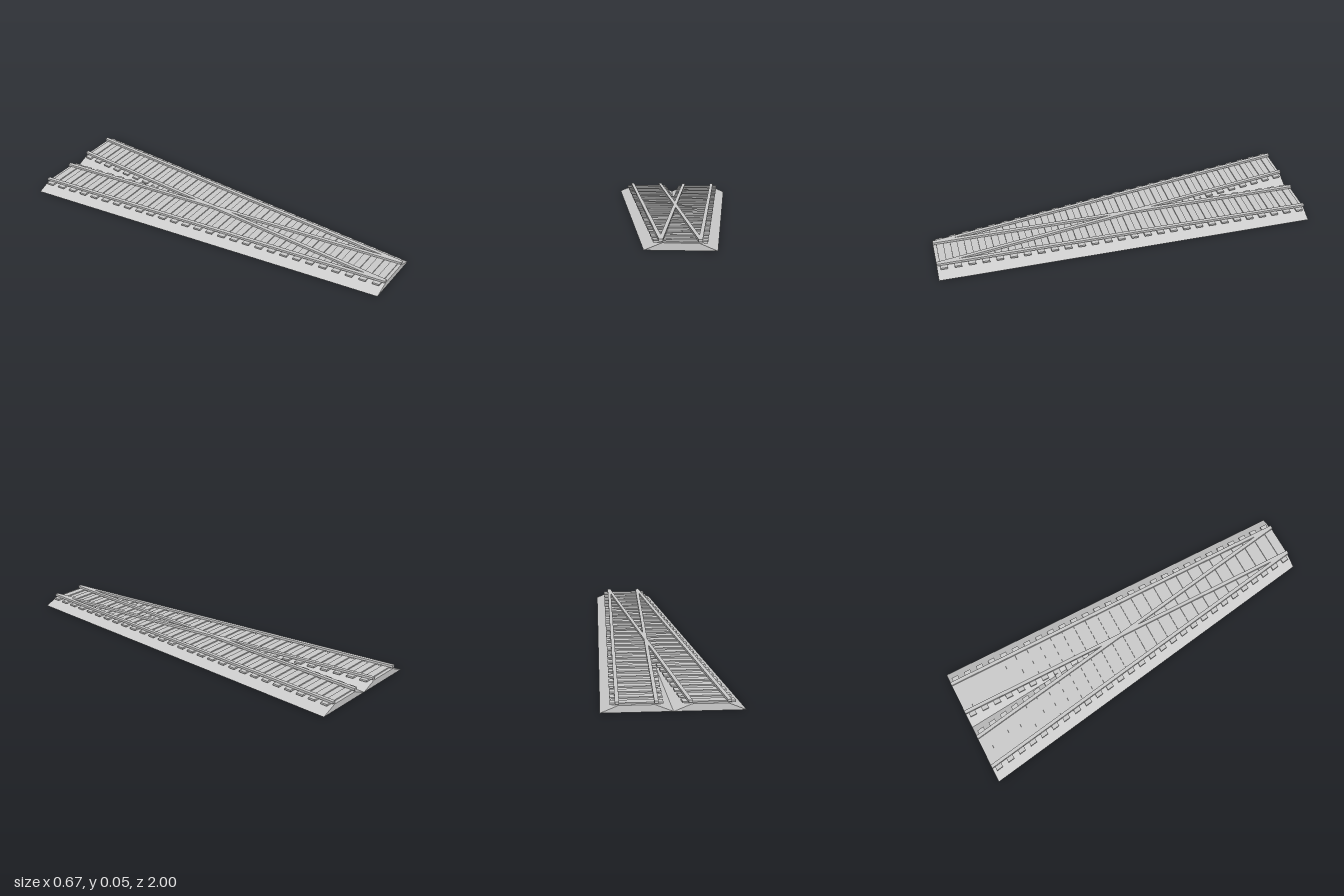
import * as THREE from 'three';

const THIRD = 1 / 3;      // foot width of one track bed
const BED_TOP = 0.035;
const SLEEPERS = 28;
const CENTRE = THIRD / 2; // centre line of the straight track

// Sideways shift of the diverging track at depth z
const shift = (z) => -(1 - z) / 6;

// Skews a geometry along the diverging track
function skew(geometry) {
  const p = geometry.attributes.position;
  for (let i = 0; i < p.count; i++) p.setX(i, p.getX(i) + shift(p.getZ(i)));
  geometry.computeVertexNormals();
  return geometry;
}

// Cross-section of the joined beds: left bed, valley, right bed
function bedSection(z) {
  const s = shift(z);
  const w = THIRD / 4;
  const valley = z < 0 ? (THIRD + s) / 2 : w;
  const inner = z < 0 ? s + 3 * w : w; // the beds merge in front of z = 0
  return [
    [s, 0], [s + w, BED_TOP], [inner, BED_TOP],
    [valley, valley / w * BED_TOP],
    [w, BED_TOP], [3 * w, BED_TOP], [THIRD, 0],
  ].map(([x, y]) => new THREE.Vector3(x, y, z));
}

// Open-bottomed gravel bed with closed ends
function bedGeometry() {
  const pos = [];
  const tri = (...pts) => pts.forEach((v) => pos.push(v.x, v.y, v.z));
  const quad = (a, b, c, d) => { tri(a, b, c); tri(a, c, d); };
  const [back, middle, front] = [-1, 0, 1].map(bedSection);

  for (let i = 0; i < 6; i++) {
    quad(back[i], middle[i], middle[i + 1], back[i + 1]);
    // the front half has one flat top, running from point 1 to point 5
    if (i === 0 || i === 5) quad(middle[i], front[i], front[i + 1], middle[i + 1]);
  }
  quad(middle[1], front[1], front[5], middle[5]);

  // end walls
  quad(front[0], front[6], front[5], front[1]);
  quad(back[0], back[1], back[2], back[3]);
  quad(back[3], back[4], back[5], back[6]);

  const g = new THREE.BufferGeometry();
  g.setAttribute('position', new THREE.Float32BufferAttribute(pos, 3));
  g.computeVertexNormals();
  return g;
}

export function createModel() {
  const group = new THREE.Group();
  const material = new THREE.MeshStandardMaterial({ color: 0xcccccc, flatShading: true });
  const bedMaterial = material.clone();
  bedMaterial.side = THREE.DoubleSide;

  const bed = new THREE.Mesh(bedGeometry(), bedMaterial);
  bed.name = 'gravelBed';
  group.add(bed);

  for (const diverging of [false, true]) {
    const track = new THREE.Group();
    track.name = diverging ? 'divergingTrack' : 'straightTrack';
    const add = (name, w, h, d, x, y, z) => {
      const g = new THREE.BoxGeometry(w, h, d).translate(x, y, z);
      const mesh = new THREE.Mesh(diverging ? skew(g) : g, material);
      mesh.name = name;
      track.add(mesh);
    };

    // sleepers
    for (let i = 0; i < SLEEPERS; i++) {
      add('sleeper', 0.243, 0.009, 0.037, CENTRE, 0.0365, -1 + (i + 0.5) * 2 / SLEEPERS);
    }
    // pair of rails
    for (const side of [-1, 1]) {
      add(side < 0 ? 'rightRail' : 'leftRail', 0.019, 0.012, 2, CENTRE + side * 0.089, 0.0465, 0);
    }
    group.add(track);
  }
  return group;
}
